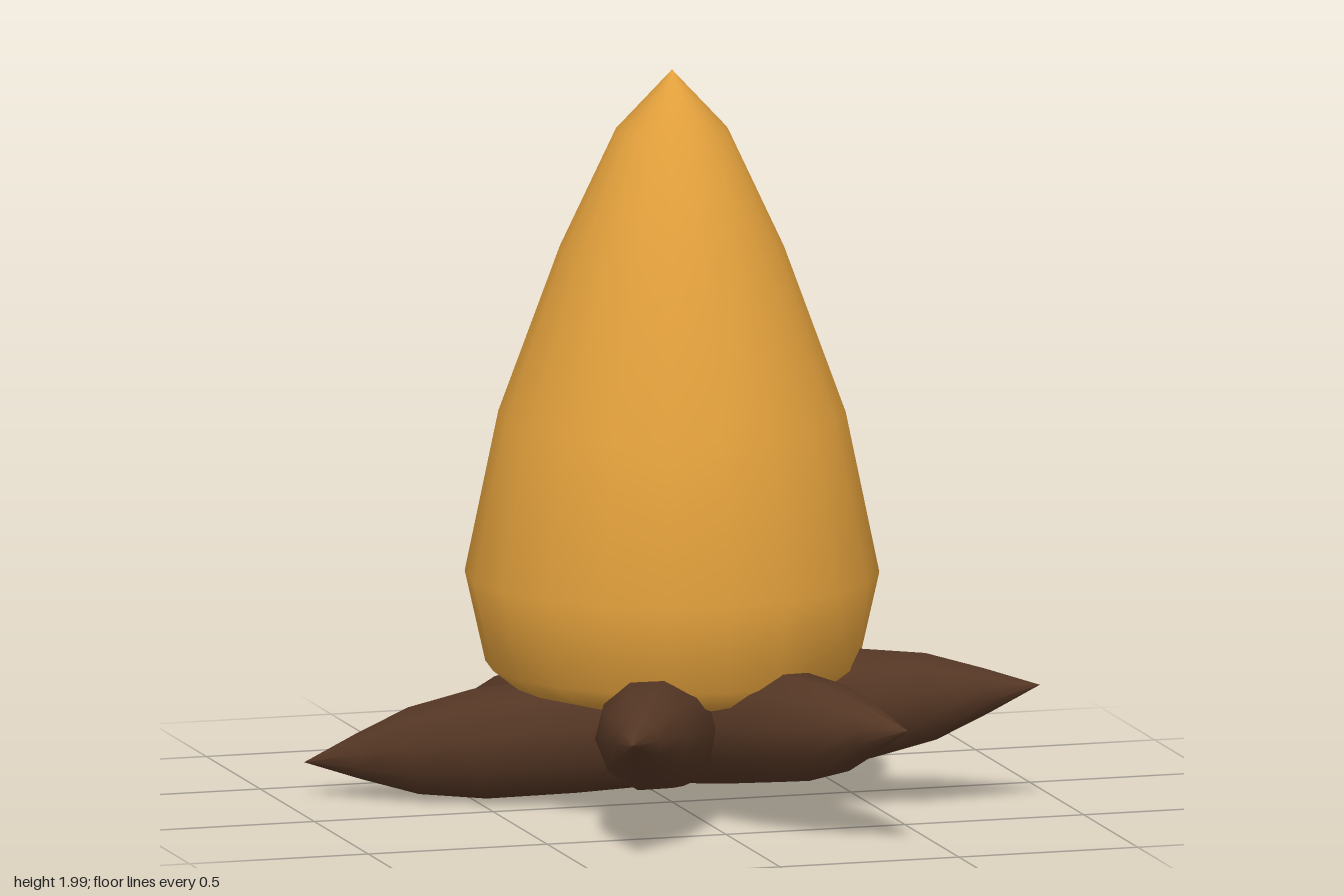
import * as THREE from 'three';

const lathe = (points, sides) =>
  new THREE.LatheGeometry(points.map(([r, y]) => new THREE.Vector2(r, y)), sides);

export function createModel() {
  const model = new THREE.Group();
  const amber = new THREE.MeshStandardMaterial({ color: 0xe2a03c });
  amber.name = 'amber';
  const bark = new THREE.MeshStandardMaterial({ color: 0x543624 });
  bark.name = 'dark bark brown';

  // Smooth teardrop flame, pointed at the top and closed by a shallow cone below
  const flame = new THREE.Mesh(lathe([
    [0, 0.25], [0.28, 0.295], [0.43, 0.335], [0.5, 0.39], [0.555, 0.635],
    [0.465, 1.07], [0.3, 1.52], [0.15, 1.84], [0, 2],
  ], 20), amber);
  flame.name = 'flame';
  model.add(flame);

  // Spindle log, tapered to a point at both ends
  const half = [[0.995, 0], [0.85, 0.062], [0.7, 0.12], [0.52, 0.152], [0.28, 0.162]];
  const profile = [
    ...half.map(([y, r]) => [r, -y]),
    [0.165, 0],
    ...half.slice().reverse().map(([y, r]) => [r, y]),
  ];
  const logGeometry = lathe(profile, 10);

  // Three tilted logs crossing at the centre; each entry is the raised tip
  const up = new THREE.Vector3(0, 1, 0);
  [[0.92, 0.36], [0.385, 0.91], [-0.385, 0.91]].forEach(([x, z], i) => {
    const log = new THREE.Mesh(logGeometry, bark);
    log.name = `log${i + 1}`;
    log.position.y = 0.22;
    log.quaternion.setFromUnitVectors(up, new THREE.Vector3(x, 0.12, z).normalize());
    model.add(log);
  });

  return model;
}
